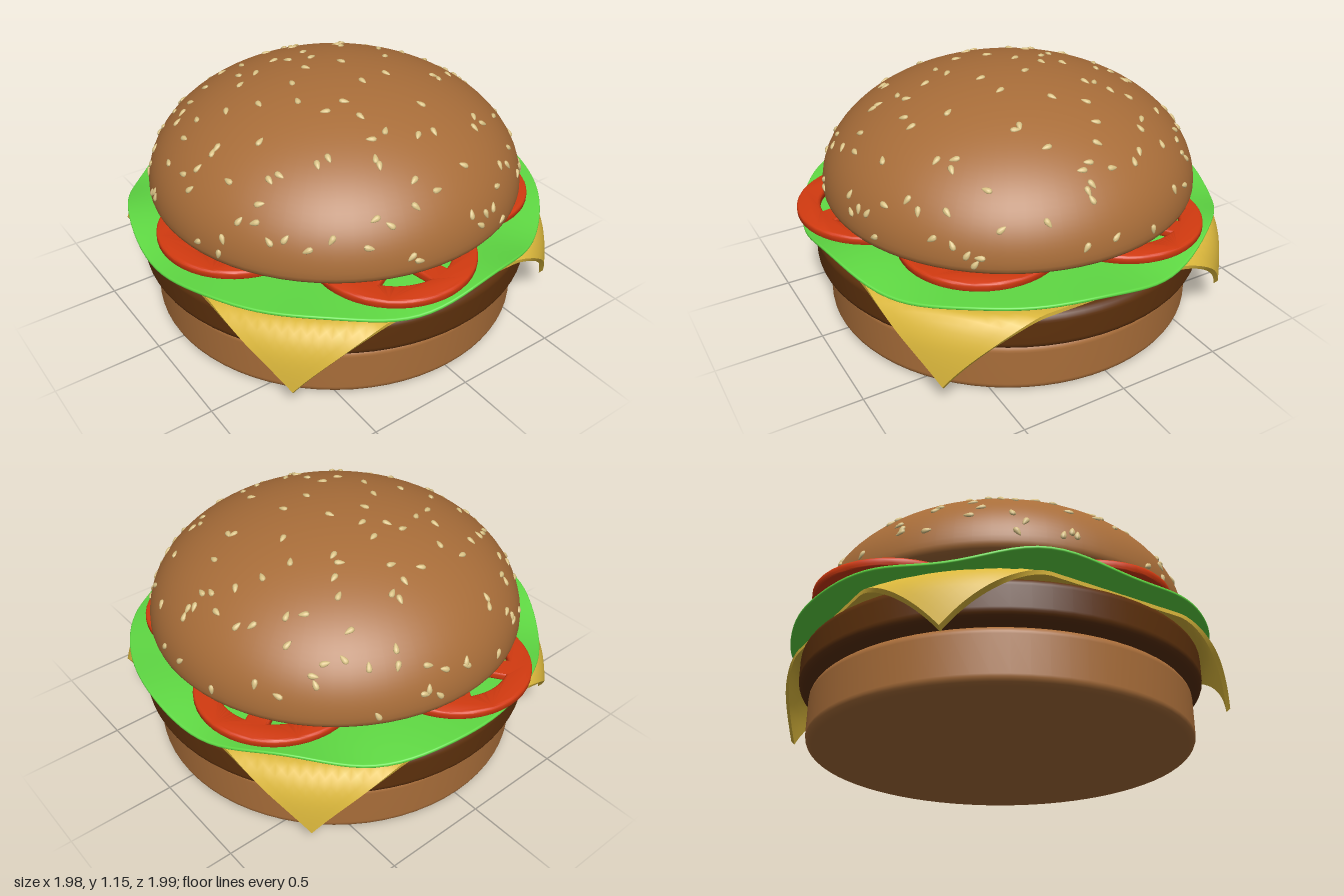
import * as THREE from 'three';
import { mergeGeometries, toCreasedNormals } from 'three/addons/utils/BufferGeometryUtils.js';

const BUN = 0xa86d39;

function part(name, geometry, color) {
  const mesh = new THREE.Mesh(geometry, new THREE.MeshStandardMaterial({ color, roughness: 0.8 }));
  mesh.name = name;
  return mesh;
}

// Solid disc with rounded rims; `rings` adds loops across the faces so it can be bent
function roundedDisc(radius, y0, y1, bevel, rings = 3, segments = 72) {
  const points = [];
  const inner = radius - bevel;
  for (let i = 0; i < rings; i++) points.push(new THREE.Vector2((inner - 0.01) * i / (rings - 1), y0));
  for (const [cy, start] of [[y0 + bevel, -Math.PI / 2], [y1 - bevel, 0]]) {
    for (let i = 0; i <= 6; i++) {
      const a = start + i / 6 * Math.PI / 2;
      points.push(new THREE.Vector2(inner + bevel * Math.cos(a), cy + bevel * Math.sin(a)));
    }
  }
  for (let i = rings - 1; i >= 0; i--) points.push(new THREE.Vector2((inner - 0.01) * i / (rings - 1), y1));
  return new THREE.LatheGeometry(points, segments);
}

// Move every vertex by a rule, then refresh the normals
function bend(geometry, rule) {
  const pos = geometry.attributes.position;
  const v = new THREE.Vector3();
  for (let i = 0; i < pos.count; i++) {
    rule(v.fromBufferAttribute(pos, i));
    pos.setXYZ(i, v.x, v.y, v.z);
  }
  geometry.computeVertexNormals();
  return geometry;
}

// Square slice whose corners hang over the patty
function cheeseGeometry() {
  return bend(new THREE.BoxGeometry(1.78, 0.018, 1.78, 48, 1, 48), (v) => {
    const r = Math.hypot(v.x, v.z);
    const over = Math.max(0, r - 0.95);
    const drop = over * over / (over + 0.03) * 1.06 * (1 + 0.04 * (v.x + v.z));
    const thick = v.y * Math.min(1, over * 8);
    const reach = over > 0 ? 0.95 + 0.09 * (1 - Math.exp(-over / 0.09)) + thick : r;
    if (r > 0) {
      v.x *= reach / r;
      v.z *= reach / r;
    }
    v.y += 0.441 - drop;
  });
}

// Leaf that stays flat in the middle and ripples at the rim
function lettuceGeometry() {
  return bend(roundedDisc(0.99, 0.5, 0.516, 0.007, 16, 120), (v) => {
    const a = Math.atan2(v.z, v.x);
    const k = Math.pow(Math.hypot(v.x, v.z) / 0.99, 5);
    v.y += k * (0.022 * Math.sin(6 * a - 0.6) + 0.012 * Math.sin(9 * a + 1.2) - 0.008);
  });
}

// Tomato slice with wedge-shaped seed pockets
function tomatoGeometry() {
  const shape = new THREE.Shape().absarc(0, 0, 0.356, 0, Math.PI * 2);
  const pockets = 5;
  for (let i = 0; i < pockets; i++) {
    const mid = (i + 0.25) / pockets * Math.PI * 2;
    const hole = new THREE.Path();
    hole.absarc(0, 0, 0.275, mid - 0.48, mid + 0.48, false);
    hole.absarc(0, 0, 0.11, mid + 0.3, mid - 0.3, true);
    hole.closePath();
    shape.holes.push(hole);
  }
  const geometry = new THREE.ExtrudeGeometry(shape, {
    depth: 0.016, bevelThickness: 0.013, bevelSize: 0.013, bevelSegments: 4, curveSegments: 24,
  });
  return toCreasedNormals(geometry.rotateX(-Math.PI / 2), 0.7);
}

const DOME = { radius: 0.88, base: 0.625, height: 0.52 };

function topBunGeometry() {
  const points = [[0, 0.585], [0.4, 0.585], [0.83, 0.585], [0.85, 0.587], [0.867, 0.595], [0.876, 0.608]]
    .map(([x, y]) => new THREE.Vector2(x, y));
  for (let i = 0; i <= 32; i++) {
    const a = i / 32 * Math.PI / 2;
    points.push(new THREE.Vector2(DOME.radius * Math.cos(a), DOME.base + DOME.height * Math.sin(a)));
  }
  points[points.length - 1].x = 0;
  return new THREE.LatheGeometry(points, 72);
}

// Teardrop seeds scattered over the dome
function seedsGeometry(count) {
  let state = 7;
  const random = () => (state = (state * 16807) % 2147483647) / 2147483647;
  const seed = bend(new THREE.SphereGeometry(1, 10, 7), (v) => {
    const taper = 1 - 0.45 * v.x;
    v.set(v.x * 0.024, v.y * 0.009 * taper, v.z * 0.0125 * taper);
  });
  const up = new THREE.Vector3(0, 1, 0);
  const size = new THREE.Vector3(1, 1, 1);
  const seeds = [];
  for (let i = 0; i < count; i++) {
    const s = Math.min(0.995, 0.03 + 0.97 * (i + random()) / count);
    const c = Math.sqrt(1 - s * s);
    const a = i * 2.39996 + (random() - 0.5) * 1.6;
    const position = new THREE.Vector3(
      DOME.radius * c * Math.cos(a), DOME.base + DOME.height * s, DOME.radius * c * Math.sin(a));
    const normal = new THREE.Vector3(
      c * Math.cos(a) / DOME.radius, s / DOME.height, c * Math.sin(a) / DOME.radius).normalize();
    const turn = new THREE.Quaternion().setFromUnitVectors(up, normal)
      .multiply(new THREE.Quaternion().setFromAxisAngle(up, random() * Math.PI * 2));
    seeds.push(seed.clone().applyMatrix4(new THREE.Matrix4().compose(position, turn, size)));
  }
  return mergeGeometries(seeds);
}

export function createModel() {
  const burger = new THREE.Group();
  burger.name = 'burger';

  burger.add(
    part('bottomBun', roundedDisc(0.885, 0, 0.247, 0.04), BUN),
    part('patty', roundedDisc(0.935, 0.256, 0.43, 0.04), 0x5c300c),
    part('cheese', cheeseGeometry(), 0xdcb83c),
    part('onion', roundedDisc(0.78, 0.45, 0.495, 0.015), 0xe8e0cc),
    part('lettuce', lettuceGeometry(), 0x5fd943),
  );

  // Overlapping tomato slices
  const tomatoes = new THREE.Group();
  tomatoes.name = 'tomatoes';
  const slice = tomatoGeometry();
  [[-0.15, -0.63], [0.55, -0.27], [0.41, 0.37], [-0.14, 0.625], [-0.58, 0.08]].forEach(([x, z], i) => {
    const tomato = part('tomatoSlice', slice, 0xd23a10);
    tomato.position.set(x, 0.545 + i * 0.0005, z);
    tomato.rotation.y = i * 0.9;
    tomatoes.add(tomato);
  });
  burger.add(tomatoes);

  burger.add(
    part('topBun', topBunGeometry(), BUN),
    part('sesameSeeds', seedsGeometry(150), 0xd8c184),
  );
  return burger;
}
